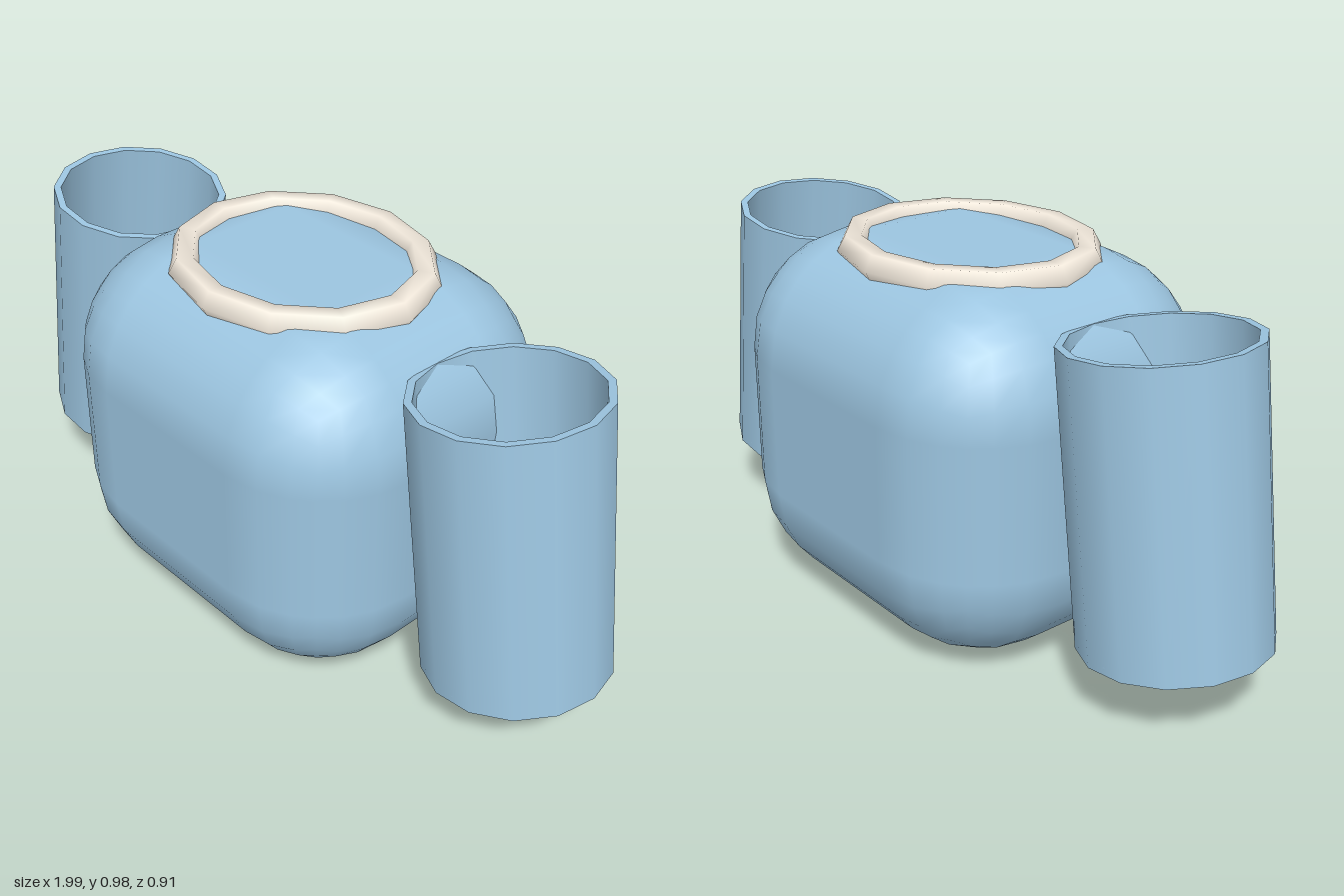
import * as THREE from 'three';
import { RoundedBoxGeometry } from 'three/addons/geometries/RoundedBoxGeometry.js';

const blue = new THREE.MeshStandardMaterial({ color: 0x9cc5e0 });
const blueOpen = new THREE.MeshStandardMaterial({ color: 0x9cc5e0, side: THREE.DoubleSide });
const ivory = new THREE.MeshStandardMaterial({ color: 0xf2e9dc });

function addMesh(parent, name, geometry, material) {
  const mesh = new THREE.Mesh(geometry, material);
  mesh.name = name;
  parent.add(mesh);
  return mesh;
}

// Hollow sleeve, open at both ends, with a thicker cuff at the bottom
function createSleeve(name, side) {
  const sleeve = new THREE.Group();
  sleeve.name = name;
  const length = 0.73, outer = 0.2345, inner = 0.215, sides = 14;
  const wall = (n, r) => addMesh(sleeve, n,
    new THREE.CylinderGeometry(r, r, length, sides, 1, true, Math.PI / 2), blueOpen);
  wall('sleeveOutside', outer);
  wall('sleeveLining', inner);

  // Flat rims closing the wall thickness
  for (const end of [1, -1]) {
    const rim = addMesh(sleeve, end > 0 ? 'topRim' : 'bottomRim',
      new THREE.RingGeometry(inner, outer, sides), blueOpen);
    rim.rotation.x = -end * Math.PI / 2;
    rim.position.y = end * length / 2;
  }

  const cuff = addMesh(sleeve, 'cuff', new THREE.TorusGeometry(0.21, 0.02, 6, 12), blue);
  cuff.rotation.x = Math.PI / 2;
  cuff.position.y = -length / 2 + 0.018;

  sleeve.position.set(side * 0.715, 0.54, 0);
  sleeve.rotation.z = side * 0.137;
  return sleeve;
}

export function createModel() {
  const model = new THREE.Group();
  model.name = 'sweater';

  // Rounded torso
  const torso = addMesh(model, 'torso', new RoundedBoxGeometry(1.07, 0.97, 0.912, 3, 0.31), blue);
  torso.position.y = 0.485;

  // Oval collar sunk into the top of the torso
  const collar = addMesh(model, 'collar', new THREE.TorusGeometry(0.32, 0.045, 6, 12), ivory);
  collar.rotation.x = Math.PI / 2;
  collar.scale.y = 0.87;
  collar.position.y = 0.946;

  model.add(createSleeve('leftSleeve', 1), createSleeve('rightSleeve', -1));
  return model;
}
